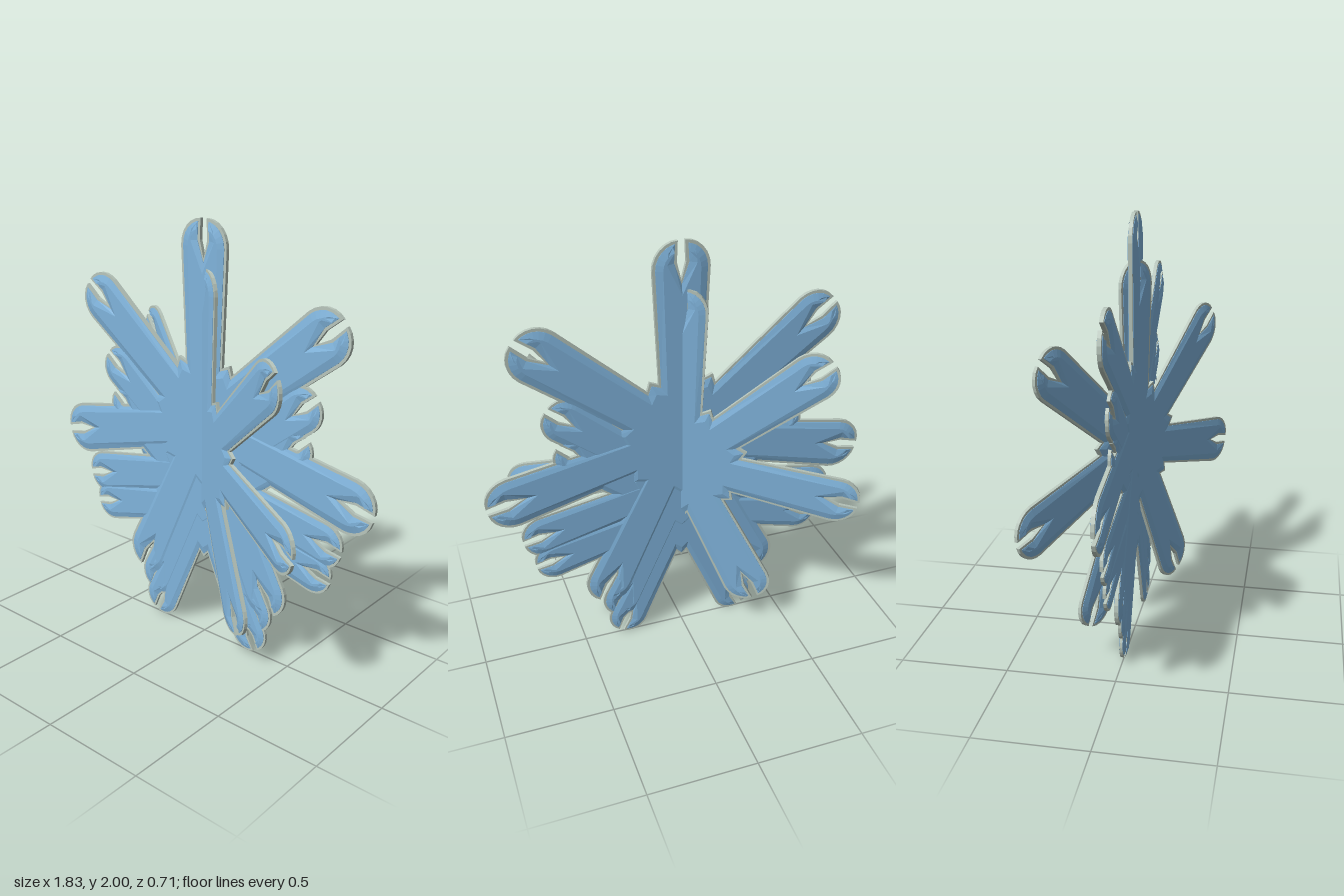
import * as THREE from 'three';

const ARMS = 7;
const STEP = (Math.PI * 2) / ARMS;

// Outline of a unit-radius snowflake: seven flared arms, each with a slit tip
function flakeShape() {
  // Right half of one arm, from root to slit: [sideways, outward]
  const half = [[0.113, 0.31]];
  for (let i = 0; i <= 6; i++) {
    const t = (i / 6) * Math.PI / 2;
    half.push([0.018 + 0.12 * Math.cos(t), 0.87 + 0.13 * Math.sin(t)]);
  }
  half.push([0.022, 0.9]);
  const left = half.map(([u, r]) => [-u, r]).reverse();
  const arm = [...half, [0, 0.815], ...left];

  const points = [];
  for (let k = 0; k < ARMS; k++) {
    const a = k * STEP;
    for (const [u, r] of arm) {
      points.push(new THREE.Vector2(
        u * Math.cos(a) - r * Math.sin(a),
        u * Math.sin(a) + r * Math.cos(a)));
    }
    // Hub corner between two arms
    const b = a + STEP / 2;
    points.push(new THREE.Vector2(-0.365 * Math.sin(b), 0.365 * Math.cos(b)));
  }
  return new THREE.Shape(points);
}

export function createModel() {
  const model = new THREE.Group();
  model.name = 'snowflakeCluster';

  const blue = new THREE.MeshStandardMaterial({ color: 0x80b4dc });
  blue.name = 'iceBlue';
  const pale = new THREE.MeshStandardMaterial({ color: 0xb8c6bc });
  pale.name = 'paleRim';

  const shape = flakeShape();
  // Thin plate whose border shows as a pale rim
  const rimGeo = new THREE.ExtrudeGeometry(shape, { depth: 0.018, bevelEnabled: false });
  rimGeo.translate(0, 0, -0.009);
  // Thicker chamfered body, inset from the rim
  const bodyGeo = new THREE.ExtrudeGeometry(shape, {
    depth: 0.022, bevelEnabled: true, bevelSegments: 1,
    bevelThickness: 0.009, bevelSize: 0.035, bevelOffset: -0.049,
  });
  bodyGeo.translate(0, 0, -0.011);

  // [name, radius, centre height, turn about y]
  const flakes = [
    ['topFlake', 0.93, 1.07, 0],
    ['turnedFlake', 0.85, 0.94, -0.432],
    ['middleFlake', 0.78, 0.83, 0],
    ['bottomFlake', 0.73, 0.675, 0],
  ];
  for (const [name, radius, height, turn] of flakes) {
    const flake = new THREE.Group();
    flake.name = name;
    const rim = new THREE.Mesh(rimGeo, pale);
    rim.name = 'rim';
    const body = new THREE.Mesh(bodyGeo, blue);
    body.name = 'body';
    flake.add(rim, body);
    flake.scale.setScalar(radius);
    flake.position.y = height;
    flake.rotation.y = turn;
    model.add(flake);
  }
  return model;
}
